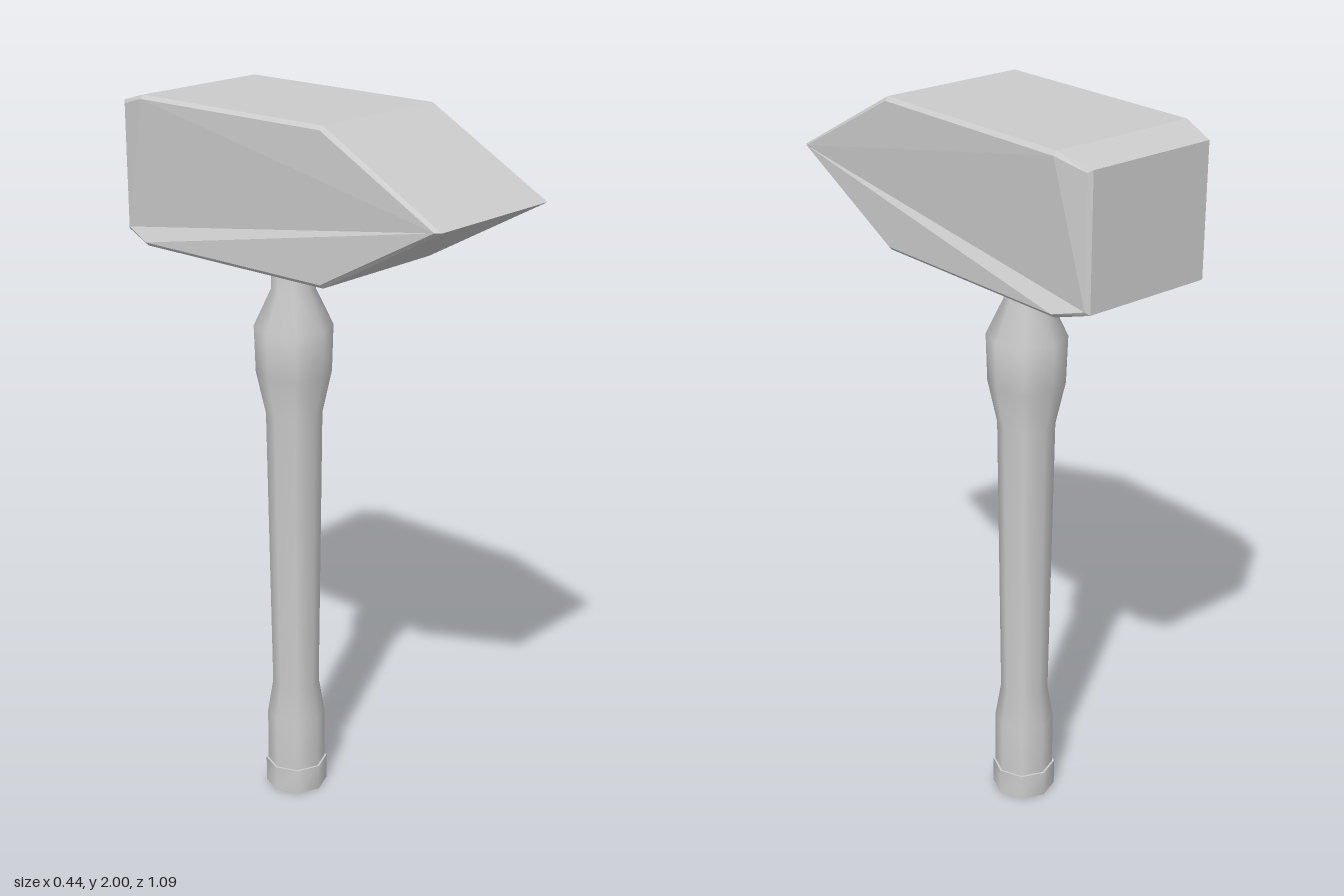
import * as THREE from 'three';
import { toCreasedNormals } from 'three/addons/utils/BufferGeometryUtils.js';

const SIDES = 8;
const HANDLE_Z = -0.112;

export function createModel() {
  const group = new THREE.Group();
  const material = new THREE.MeshStandardMaterial({ color: 0xcccccc });

  function add(name, geometry, y = 0, z = 0) {
    const mesh = new THREE.Mesh(geometry, material);
    mesh.name = name;
    mesh.position.set(0, y, z);
    group.add(mesh);
  }

  // Head: wedge-nosed side profile (z, y), extruded across x with a thin bevel
  const profile = [
    [0.545, 1.8], [0.18, 2], [-0.445, 2], [-0.542, 1.973],
    [-0.542, 1.627], [-0.445, 1.6], [0.18, 1.6],
  ].map(([z, y]) => new THREE.Vector2(z, y));
  const bevel = 0.01, width = 0.436;
  const head = new THREE.ExtrudeGeometry(new THREE.Shape(profile), {
    depth: width - 2 * bevel,
    bevelThickness: bevel, bevelSize: bevel, bevelOffset: -bevel, bevelSegments: 1,
  });
  head.translate(0, 0, bevel - width / 2);
  head.rotateY(-Math.PI / 2);

  // Narrow the striking face at the back
  const p = head.attributes.position;
  for (let i = 0; i < p.count; i++) {
    if (p.getZ(i) < -0.5) p.setX(i, p.getX(i) * 0.89);
  }
  head.computeVertexNormals();
  add('hammerHead', head);

  // Handle: turned shaft with a swell under the head and a flared grip
  const shaft = [
    [0.082, 0.05], [0.082, 0.23], [0.066, 0.33], [0.077, 1.15],
    [0.103, 1.27], [0.107, 1.4], [0.06, 1.5], [0.058, 1.65],
  ].map(([r, y]) => new THREE.Vector2(r, y));
  add('handle', new THREE.LatheGeometry(shaft, SIDES), 0, HANDLE_Z);

  // Butt cap at the bottom of the handle
  const cap = new THREE.CylinderGeometry(0.088, 0.088, 0.075, SIDES);
  add('buttCap', toCreasedNormals(cap, Math.PI / 3), 0.0375, HANDLE_Z);

  return group;
}
